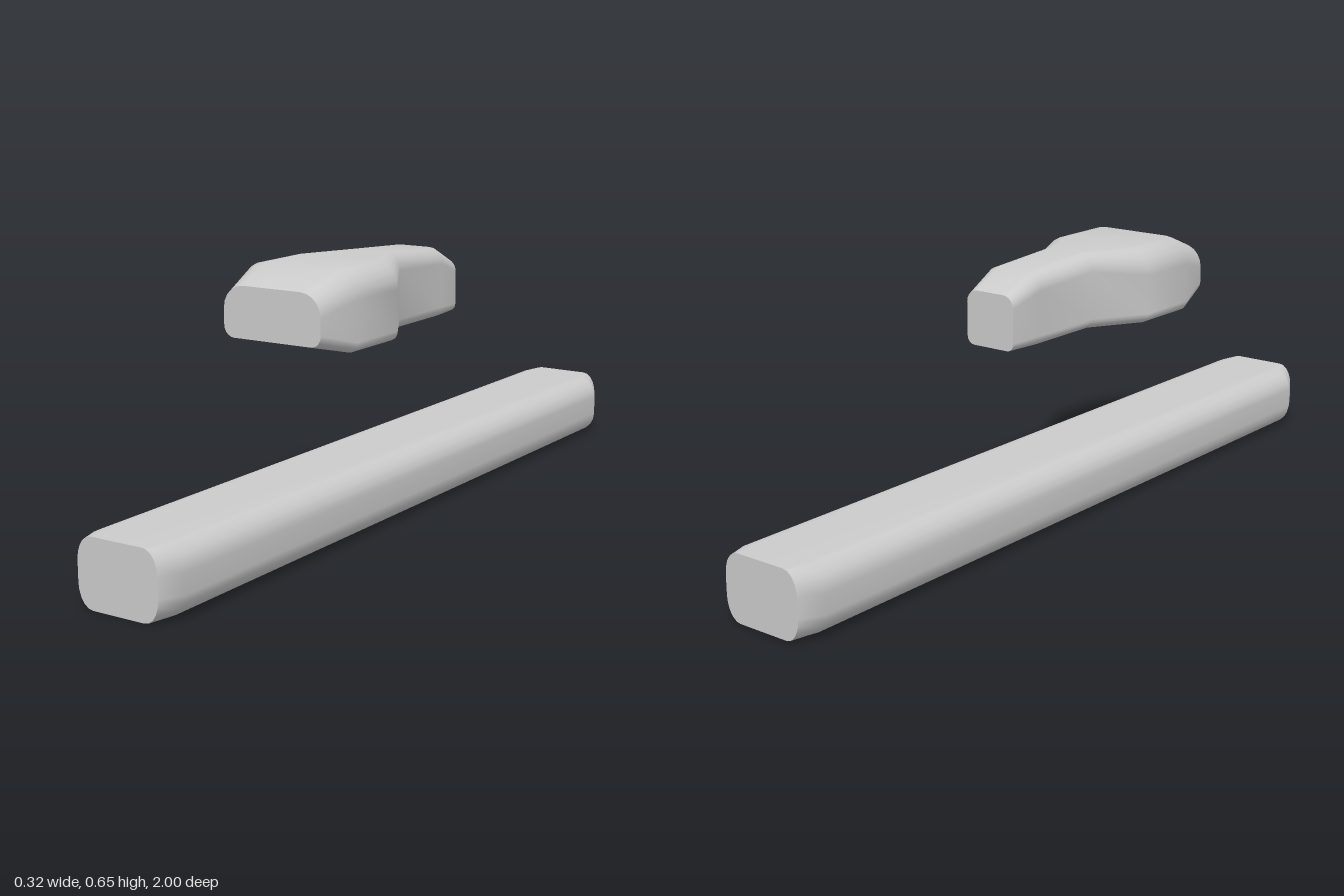
import * as THREE from 'three';

const STEPS = 5; // segments per rounded corner

// Rounded rectangle, counter-clockwise seen from +z, with separate top and bottom corner sizes
function ring({ z, w, y0, y1, top, bottom }) {
  const corners = [
    [1, y0, bottom, -Math.PI / 2], [1, y1, top, 0],
    [-1, y1, top, Math.PI / 2], [-1, y0, bottom, Math.PI],
  ];
  const points = [];
  for (const [side, y, [rx, ry], start] of corners) {
    const cx = side * (w - rx);
    const cy = y === y1 ? y1 - ry : y0 + ry;
    for (let i = 0; i <= STEPS; i++) {
      const a = start + (i / STEPS) * Math.PI / 2;
      points.push([cx + rx * Math.cos(a), cy + ry * Math.sin(a), z]);
    }
  }
  return points;
}

// Smooth skin through sections running front to back, closed by flat ends
function loft(name, sections) {
  const rings = sections.map(ring);
  const n = rings[0].length;
  const last = rings.length - 1;
  const ends = [rings[0], rings[last]];
  const index = [];
  for (let s = 0; s < last; s++) {
    for (let i = 0; i < n; i++) {
      const j = (i + 1) % n;
      const a = s * n + i, b = s * n + j;
      index.push(a, a + n, b, b, a + n, b + n);
    }
  }
  const front = rings.length * n, back = front + n;
  for (let i = 1; i < n - 1; i++) {
    index.push(front, front + i, front + i + 1);
    index.push(back, back + i + 1, back + i);
  }
  const geometry = new THREE.BufferGeometry();
  geometry.setAttribute('position', new THREE.Float32BufferAttribute([...rings, ...ends].flat(2), 3));
  geometry.setIndex(index);
  geometry.computeVertexNormals();
  const mesh = new THREE.Mesh(geometry, new THREE.MeshStandardMaterial({ color: 0xcccccc }));
  mesh.name = name;
  return mesh;
}

export function createModel() {
  const group = new THREE.Group();

  // Long bar with sides tapering in at both ends
  const barSection = (z, w, rx) => ({ z, w, y0: 0, y1: 0.162, top: [rx, 0.057], bottom: [rx, 0.057] });
  group.add(loft('bar', [
    barSection(1, 0.108, 0.038), barSection(0.945, 0.135, 0.06),
    barSection(-0.945, 0.135, 0.06), barSection(-1, 0.108, 0.038),
  ]));

  // Raised block: wide bevelled head narrowing to a tail
  const block = (z, w, y0, y1, r, b = 0.025) => ({ z, w, y0, y1, top: [r, r], bottom: [b, b] });
  group.add(loft('upperBlock', [
    block(0.457, 0.135, 0.487, 0.61, 0.055, 0.028),
    block(0.35, 0.162, 0.461, 0.65, 0.066),
    block(0.18, 0.162, 0.461, 0.65, 0.066),
    block(0.05, 0.085, 0.461, 0.65, 0.045),
    block(-0.155, 0.084, 0.461, 0.636, 0.04),
    block(-0.243, 0.07, 0.461, 0.595, 0.03, 0.02),
  ]));

  return group;
}
